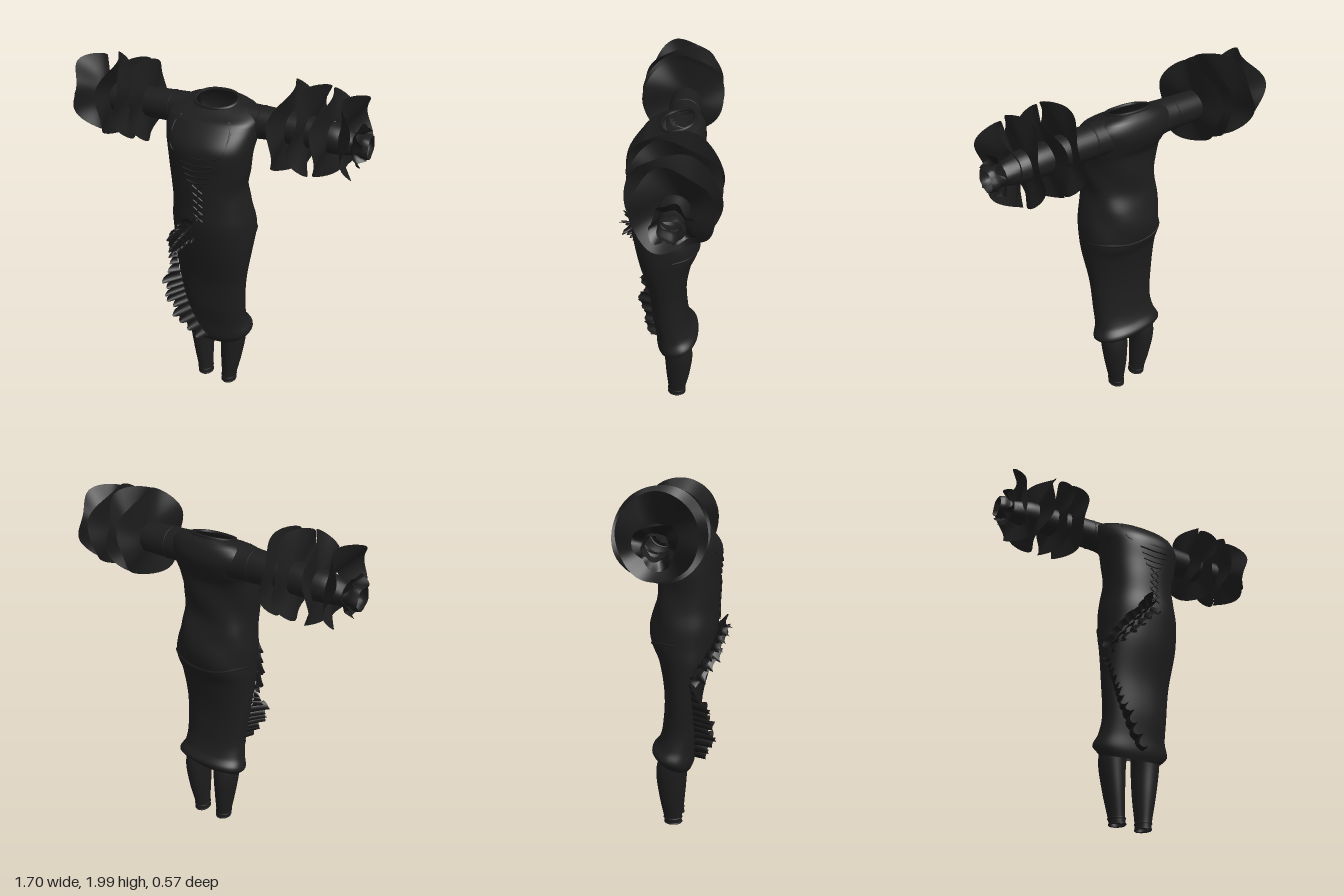
import * as THREE from 'three';

const { sin, cos, PI, abs, sign } = Math;
const smooth = THREE.MathUtils.smoothstep;
const V = (x, y, z) => new THREE.Vector3(x, y, z);
const ROUND = 0.87; // below 1 the dress is slightly boxy in plan

// Dress cross-sections: height, right edge, left edge, front, back
const SECTIONS = [
  [0.385, -0.16, 0.20, 0.065, -0.125], [0.43, -0.195, 0.245, 0.082, -0.165],
  [0.50, -0.175, 0.22, 0.09, -0.13], [0.60, -0.165, 0.215, 0.11, -0.103],
  [0.80, -0.185, 0.225, 0.13, -0.09], [1.00, -0.2, 0.255, 0.18, -0.12],
  [1.10, -0.2, 0.265, 0.20, -0.16], [1.20, -0.2, 0.26, 0.215, -0.168],
  [1.30, -0.19, 0.24, 0.215, -0.15], [1.40, -0.19, 0.22, 0.22, -0.122],
  [1.50, -0.2, 0.24, 0.225, -0.12], [1.62, -0.21, 0.257, 0.235, -0.13],
  [1.67, -0.225, 0.262, 0.222, -0.155], [1.74, -0.245, 0.27, 0.168, -0.178],
  [1.785, -0.24, 0.265, 0.125, -0.175], [1.82, -0.185, 0.215, 0.08, -0.15],
  [1.84, -0.095, 0.12, 0.05, -0.12],
];

// Smooth interpolation of a table keyed by its first column
function sample(table, k) {
  const n = table.length;
  let i = 0;
  while (i < n - 2 && k > table[i + 1][0]) i++;
  const a = table[i], b = table[i + 1], p = table[Math.max(i - 1, 0)], q = table[Math.min(i + 2, n - 1)];
  const h = b[0] - a[0], t = THREE.MathUtils.clamp((k - a[0]) / h, 0, 1), t2 = t * t, t3 = t2 * t;
  return a.slice(1).map((v, j) => {
    const c = j + 1;
    const m0 = (b[c] - p[c]) / (b[0] - p[0]) * h, m1 = (q[c] - v) / (q[0] - a[0]) * h;
    return (2 * t3 - 3 * t2 + 1) * v + (t3 - 2 * t2 + t) * m0 + (3 * t2 - 2 * t3) * b[c] + (t3 - t2) * m1;
  });
}

// Point on the dress; angle 0 is the front and PI/2 the model's left
function bodyPoint(y, a, off = 0) {
  const [x0, x1, zf, zb] = sample(SECTIONS, y);
  const pow = (v) => sign(v) * abs(v) ** ROUND;
  // soft diagonal creases across the back of the bodice
  const crease = 0.005 * sin(4 * a + y * 22) * smooth(-cos(a), -0.1, 0.6) * smooth(y, 1, 1.2) * (1 - smooth(y, 1.6, 1.75));
  const x = (x0 + x1) / 2 + ((x1 - x0) / 2 + off + crease) * pow(sin(a));
  const z = (zf + zb) / 2 + ((zf - zb) / 2 + off + crease) * pow(cos(a));
  const tilt = 0.29 * (z + 0.04) * (1 - smooth(y, 0.4, 0.6)) + 0.25 * (z + 0.03) * smooth(y, 1.76, 1.84);
  return V(x, y - tilt, z);
}

// Point on the front of the dress at a given x
function frontPoint(x, y, off = 0.003) {
  const [x0, x1] = sample(SECTIONS, y);
  const s = THREE.MathUtils.clamp((x - (x0 + x1) / 2) / ((x1 - x0) / 2), -1, 1);
  return bodyPoint(y, Math.asin(sign(s) * abs(s) ** (1 / ROUND)), off);
}

// Sheet of quads from a rule f(u, v); u may wrap round, skip() leaves openings
function sheet(nu, nv, closed, f, skip) {
  const cols = closed ? nu : nu + 1, pts = [], index = [];
  for (let j = 0; j <= nv; j++) for (let i = 0; i < cols; i++) pts.push(f(i / nu, j / nv));
  for (let j = 0; j < nv; j++) for (let i = 0; i < nu; i++) {
    const a = j * cols + i, b = j * cols + (i + 1) % cols, c = a + cols, d = b + cols;
    if (skip && skip(pts[a].clone().add(pts[d]).multiplyScalar(0.5))) continue;
    index.push(a, b, d, a, d, c);
  }
  const g = new THREE.BufferGeometry().setFromPoints(pts);
  g.setIndex(index);
  g.computeVertexNormals();
  return g;
}

export function createModel() {
  const group = new THREE.Group();
  const cloth = new THREE.MeshStandardMaterial({ color: 0x1d1d1d, side: THREE.DoubleSide });
  cloth.name = 'black cloth';
  const trim = new THREE.MeshStandardMaterial({ color: 0x181818, side: THREE.DoubleSide });
  trim.name = 'dark trim';
  const add = (name, geo, mat = cloth) => {
    const m = new THREE.Mesh(geo, mat);
    m.name = name;
    group.add(m);
    return m;
  };
  const cord = (name, pts, r, mat = trim, closed = false) =>
    add(name, new THREE.TubeGeometry(new THREE.CatmullRomCurve3(pts, closed), pts.length * 4, r, 6, closed), mat);
  const steps = (n, f) => Array.from({ length: n + 1 }, (_, i) => f(i / n));

  // Dress shell, open at neck, hem and armholes
  add('dress', sheet(72, 100, true, (u, v) => bodyPoint(0.385 + 1.455 * v, u * 2 * PI),
    (p) => abs(p.x - 0.015) > 0.16 && Math.hypot(p.y - 1.74, p.z + 0.055) < 0.066));
  cord('collar', steps(31, (t) => bodyPoint(1.838, t * 31 / 32 * 2 * PI)), 0.009, cloth, true);
  cord('backWaistFold', steps(24, (t) => bodyPoint(1.115 + 0.012 * sin(t * 9), PI * (0.55 + 0.9 * t), -0.001)), 0.006, cloth);

  // Yoke seam, bodice tabs and lacing
  cord('yokeSeam', [[-0.12, 1.79], [-0.145, 1.74], [-0.14, 1.64], [-0.12, 1.62], [0.02, 1.605],
    [0.14, 1.62], [0.165, 1.64], [0.175, 1.74], [0.15, 1.79]].map(([x, y]) => frontPoint(x, y, -0.001)), 0.004, cloth);
  for (let i = 0; i < 4; i++) {
    const w = 0.09 - 0.012 * i, y = 1.575 - 0.034 * i;
    cord('bodiceTab', steps(6, (t) => frontPoint(0.025 + w * (2 * t - 1), y - 0.01 * sin(t * PI))), 0.005);
  }
  for (let i = 0; i < 5; i++) for (const s of [-1, 1]) {
    const y = 1.45 - i * 0.042;
    cord('lacing', steps(3, (t) => frontPoint(0.03 + s * 0.028 * (2 * t - 1), y - 0.042 * t, 0.005)), 0.005);
  }
  for (const s of [-1, 1])
    cord('laceEnd', steps(4, (t) => frontPoint(0.03 + s * 0.018 * sin(t * PI), 1.3 - 0.06 * t, 0.005)), 0.004);

  // Gathered frill running down the skirt: path of height, angle and width; lean lays it sideways
  const frill = (name, path, waves, phase, lean, ripple) => add(name, sheet(waves * 12, 5, false, (u, v) => {
    const [y, a, width] = sample(path, u);
    const p = bodyPoint(y, a), k = 0.3 + 0.7 * v, w = u * waves * 2 * PI + phase;
    const reach = width * v * (1 + 0.15 * sin(w * 0.37));
    const dir = V(0.45 * sin(a), 0, 0.35 + 0.65 * cos(a)).normalize();
    dir.add(V(lean * cos(a), -lean, -lean * sin(a)));
    return p.addScaledVector(dir, reach).add(V(ripple * k * cos(w), ripple * k * sin(w + v), 0.3 * ripple * v * sin(2 * w)));
  }), trim);
  frill('upperFrill', [[0, 1.22, -0.08, 0.05], [0.4, 1.12, -0.45, 0.04], [0.75, 1.03, -0.9, 0.035], [1, 0.93, -1.35, 0.025]], 7, 0, -0.6, 0.022);
  frill('upperFrill', [[0, 1.2, -0.05, 0.05], [0.4, 1.1, -0.38, 0.04], [0.75, 1.0, -0.8, 0.035], [1, 0.91, -1.3, 0.025]], 6, 2, 0.6, 0.022);
  frill('upperFrill', [[0, 1.21, -0.1, 0.065], [0.5, 1.09, -0.5, 0.035], [1, 0.95, -1.1, 0.03]], 6, 4, 0, 0.02);
  frill('lowerFrill', [[0, 0.91, -1.35, 0.015], [0.18, 0.83, -1.15, 0.06], [0.32, 0.75, -1.0, 0.11], [0.6, 0.63, -0.78, 0.11],
    [0.82, 0.52, -0.4, 0.1], [1, 0.43, 0, 0.035]], 12, 1, 0, 0.017);

  // Sleeves, widening into the shoulder: distance from centre, radius, height of axis
  const sleeve = [[0.14, 0.094, 1.745], [0.2, 0.088, 1.748], [0.27, 0.086, 1.748], [0.5, 0.081, 1.745], [0.66, 0.078, 1.738],
    [0.74, 0.062, 1.73], [0.79, 0.05, 1.728], [0.82, 0.064, 1.726], [0.85, 0.058, 1.724]];
  // Sleeve frills: distance out at the top, front, bottom and back of the edge, radius up, radius in depth, flare, wave
  const frills = {
    '1': [[0.445, 0.4, 0.43, 0.46, 0.238, 0.232, 0.01, 0.025], [0.55, 0.51, 0.53, 0.55, 0.235, 0.225, 0.01, -0.028],
      [0.64, 0.62, 0.645, 0.68, 0.225, 0.225, 0, 0.022], [0.745, 0.78, 0.745, 0.79, 0.212, 0.19, 0.065, -0.03]],
    '-1': [[0.42, 0.39, 0.41, 0.425, 0.222, 0.225, 0, 0.02], [0.48, 0.49, 0.505, 0.5, 0.225, 0.23, 0, 0.022],
      [0.585, 0.6, 0.62, 0.67, 0.23, 0.225, 0, -0.025], [0.755, 0.77, 0.7, 0.775, 0.21, 0.19, 0.06, 0.03]],
  };
  for (const s of [1, -1]) {
    const side = s > 0 ? 'left' : 'right';
    add(side + 'Sleeve', sheet(32, 40, true, (u, v) => {
      const x = 0.14 + 0.71 * v, [r, y] = sample(sleeve, x), a = u * 2 * PI;
      const rr = r * (1 + 0.06 * sin(5 * a + x * 20) * smooth(x, 0.68, 0.8));
      return V(s * x, y + rr * cos(a), -0.055 + 0.015 * smooth(x, 0.5, 0.8) + rr * sin(a));
    }));
    const band = add(side + 'ArmholeBand', new THREE.TorusGeometry(0.084, 0.005, 6, 32));
    band.rotation.y = PI / 2;
    band.position.set(s * 0.262 + 0.008, 1.748, -0.055);
    for (const [top, front, low, back, ry, rz, flare, depth] of frills[s]) {
      const mid = (top + front + low + back) / 4;
      add(side + 'SleeveFrill', sheet(64, 8, true, (u, v) => {
        const a = u * 2 * PI, w = 0.07 * (1 - v);
        const lean = (top - low) / 2 * cos(a) + (front - back) / 2 * sin(a) + (top + low - front - back) / 4 * cos(2 * a);
        const wave = depth * (sin(4 * a + 0.5 * (1 - v)) + 0.5 * sin(2 * a));
        return V(s * (mid + flare * (v - 1) + v * (lean + wave)),
          1.75 + 0.01 * v + (w + ry * v) * cos(a), -0.05 + 0.01 * v + (w + rz * v) * sin(a));
      }));
    }
    // crumpled cuff frill
    add(side + 'CuffFrill', sheet(48, 5, true, (u, v) => {
      const a = u * 2 * PI, r = 0.052 + 0.05 * v + 0.014 * v * sin(3 * a + s);
      return V(s * (0.765 + 0.045 * v + 0.02 * v * sin(6 * a)), 1.728 + r * cos(a), -0.04 + r * sin(a));
    }), trim);
  }

  // Trouser legs, open at both ends: height, right edge, left edge, front, back
  const legs = {
    left: [[0.01, 0.062, 0.145, 0.012, -0.092], [0.05, 0.062, 0.148, 0.012, -0.092], [0.2, 0.053, 0.178, 0.025, -0.12],
      [0.36, 0.048, 0.2, 0.036, -0.133], [0.48, 0.035, 0.195, 0.05, -0.105], [0.6, 0.025, 0.185, 0.06, -0.075]],
    right: [[0.02, -0.097, -0.012, 0.012, -0.088], [0.05, -0.1, -0.015, 0.012, -0.09], [0.2, -0.13, -0.016, 0.025, -0.118],
      [0.36, -0.155, -0.01, 0.036, -0.133], [0.48, -0.15, 0.005, 0.05, -0.105], [0.6, -0.14, 0.015, 0.06, -0.075]],
  };
  for (const [side, table] of Object.entries(legs)) {
    const ring = (y, a) => {
      const [x0, x1, zf, zb] = sample(table, y);
      return V((x0 + x1) / 2 + (x1 - x0) / 2 * sin(a), y, (zf + zb) / 2 + (zf - zb) / 2 * cos(a));
    };
    const y0 = table[0][0];
    add(side + 'Leg', sheet(32, 24, true, (u, v) => ring(y0 + (0.6 - y0) * v, u * 2 * PI)));
    for (const y of [y0 + 0.006, y0 + 0.036])
      cord(side + 'AnkleHem', steps(23, (t) => ring(y, t * 23 / 24 * 2 * PI)), 0.004, cloth, true);
  }
  return group;
}
